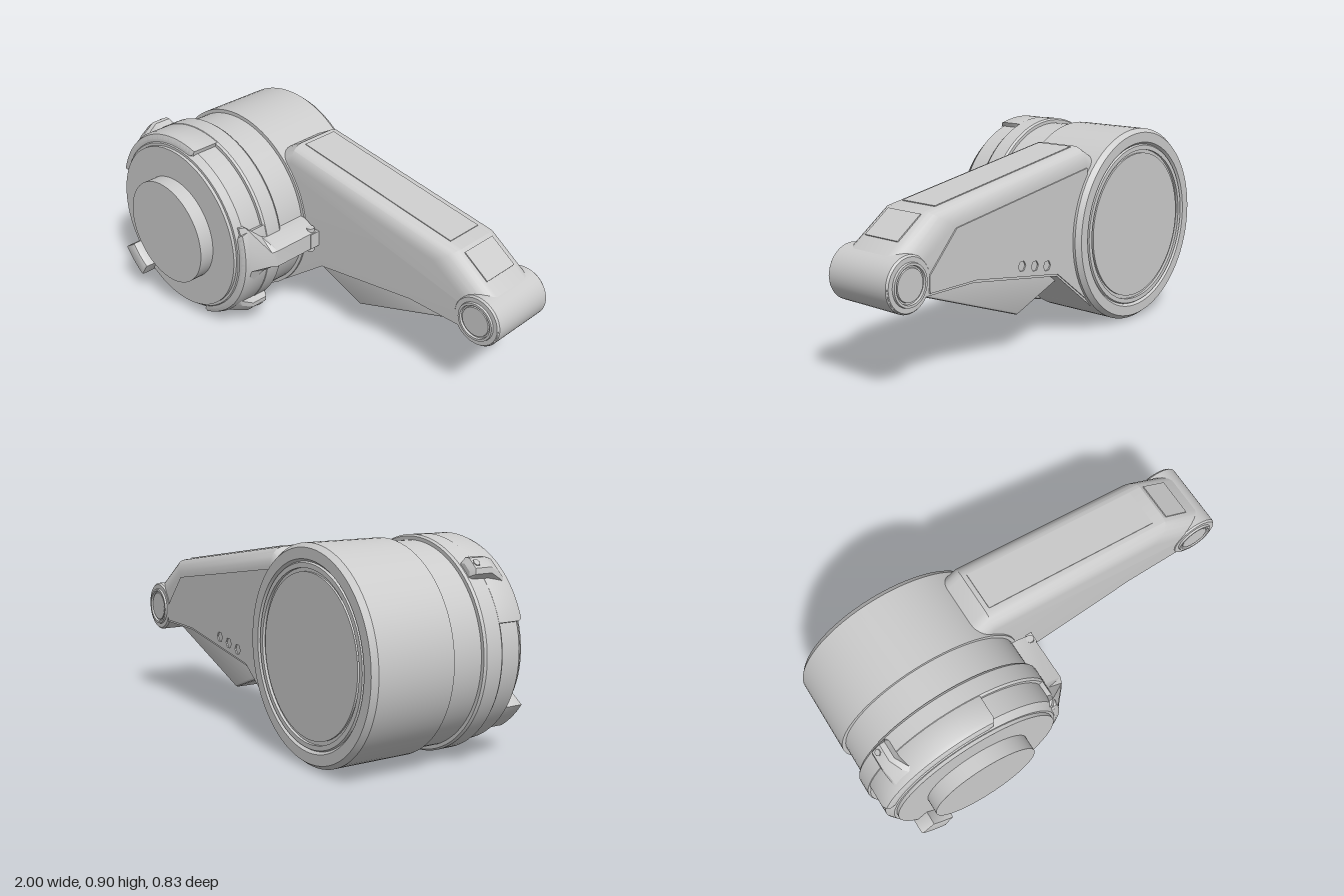
import * as THREE from 'three';
import { toCreasedNormals } from 'three/addons/utils/BufferGeometryUtils.js';

const grey = new THREE.MeshStandardMaterial({ color: 0xcccccc });
const RAD = Math.PI / 180;

function add(parent, name, geometry, crease = 0.5) {
  const mesh = new THREE.Mesh(toCreasedNormals(geometry, crease), grey);
  mesh.name = name;
  parent.add(mesh);
  return mesh;
}

// Turned part about the z axis, profile points are [radius, z] from back to front
function turned(profile, segments) {
  return new THREE.LatheGeometry(profile.map(p => new THREE.Vector2(...p)), segments).rotateX(Math.PI / 2);
}

// Capped skin through sections {z, pts}, with pts counter-clockwise and z rising
function loft(sections) {
  const n = sections[0].pts.length, last = (sections.length - 1) * n;
  const pos = sections.flatMap(s => s.pts.flatMap(p => [p[0], p[1], s.z]));
  const index = [];
  for (let s = 0; s < last; s += n) {
    for (let i = 0; i < n; i++) {
      const j = (i + 1) % n;
      index.push(s + i, s + j, s + n + j, s + i, s + n + j, s + n + i);
    }
  }
  const contour = sections[0].pts.map(p => new THREE.Vector2(p[0], p[1]));
  for (const [a, b, c] of THREE.ShapeUtils.triangulateShape(contour, [])) {
    index.push(c, b, a, last + a, last + b, last + c);
  }
  const g = new THREE.BufferGeometry();
  g.setAttribute('position', new THREE.Float32BufferAttribute(pos, 3));
  g.setIndex(index);
  g.computeVertexNormals();
  return g;
}

// Extrusion between two z values, with the bevel kept inside them
function slab(shape, z0, z1, bevel = 0) {
  return new THREE.ExtrudeGeometry(shape, {
    depth: z1 - z0 - 2 * bevel, bevelEnabled: bevel > 0, bevelThickness: bevel,
    bevelSize: bevel, bevelOffset: -bevel, bevelSegments: 2, curveSegments: 32,
  }).translate(0, 0, z0 + bevel);
}

// Ring segment between two angles in degrees
function sector(r0, r1, a0, a1) {
  const s = new THREE.Shape();
  s.absarc(0, 0, r1, a0 * RAD, a1 * RAD, false);
  s.absarc(0, 0, r0, a1 * RAD, a0 * RAD, true);
  return s;
}

function polygon(points) {
  return new THREE.Shape(points.map(p => new THREE.Vector2(...p)));
}

function createDrum() {
  const drum = new THREE.Group();
  drum.name = 'drum';
  drum.position.set(-0.55, 0.453, 0);

  // Stepped housing from the grooved back cover to the front knob
  add(drum, 'housing', turned([
    [0, -0.408], [0.335, -0.408], [0.335, -0.4], [0.35, -0.4], [0.35, -0.412], [0.37, -0.412],
    [0.375, -0.404], [0.385, -0.415], [0.43, -0.415], [0.447, -0.393], [0.447, -0.042],
    [0.43, -0.042], [0.43, 0.105], [0.445, 0.105], [0.452, 0.115], [0.452, 0.19], [0.445, 0.2],
    [0.43, 0.2], [0.43, 0.3], [0.405, 0.33], [0.393, 0.33], [0.393, 0.345], [0.25, 0.345],
    [0.25, 0.415], [0, 0.415],
  ], 80));

  // Raised rim segments, each carrying a screw lug
  for (const [a0, a1, lugAngle] of [[73, 162, 132], [-72, 17, -46]]) {
    add(drum, 'rimSegment', slab(sector(0.36, 0.45, a0, a1), 0.15, 0.325, 0.028));
    const lug = new THREE.Group();
    lug.name = 'screwLug';
    lug.rotation.z = lugAngle * RAD;
    drum.add(lug);
    const lugSections = [
      [0.12, 0.47, 0.035], [0.135, 0.493, 0.045], [0.215, 0.493, 0.045],
      [0.27, 0.465, 0.06], [0.3, 0.44, 0.085],
    ].map(([z, r, h]) => ({
      z, pts: [[0.4, -h], [r - 0.015, -h], [r, -h * 0.6], [r, h * 0.6], [r - 0.015, h], [0.4, h]],
    }));
    add(lug, 'lugBody', loft(lugSections));
    const screw = add(lug, 'lugScrew', new THREE.CylinderGeometry(0.016, 0.016, 0.03, 6));
    screw.rotation.z = Math.PI / 2;
    screw.position.set(0.482, 0, 0.155);
  }

  // Small front tab
  add(drum, 'frontTab', slab(sector(0.335, 0.415, -146, -124), 0.32, 0.41, 0.008));

  // Latch: spreads over the rim and runs back as a bar
  const latch = new THREE.Group();
  latch.name = 'latch';
  drum.add(latch);
  const latchSections = [
    [-0.04, 0.525, 0.04, 0.45, 0.077], [0.2, 0.525, 0.04, 0.45, 0.077],
    [0.225, 0.515, 0.035, 0.447, 0.09], [0.295, 0.452, 0.06, 0.42, 0.155],
    [0.315, 0.43, 0.06, 0.4, 0.15],
  ].map(([z, r, h, r2, h2]) => ({
    z, pts: [[0.36, -h2], [r2, -h2], [r, -h], [r, h], [r2, h2], [0.36, h2]],
  }));
  add(latch, 'latchBar', loft(latchSections));
  add(latch, 'latchClip', new THREE.BoxGeometry(0.03, 0.075, 0.05).translate(0.515, 0, -0.025));
  add(latch, 'latchPin', new THREE.CylinderGeometry(0.018, 0.018, 0.12, 16).translate(0.505, 0, -0.02));
  return drum;
}

function createArm() {
  const arm = new THREE.Group();
  arm.name = 'arm';
  const back = -0.375, front = -0.05, round = 0.07;
  const tip = [0.885, 0.455], tipRadius = 0.115;

  // Outline points [x, y] with the inset [dx, dy] they take at the side faces
  const outline = [[-0.25, 0.12, 0, 0], [0, 0.31, 0, 0], [0.53, 0.39, 0, 0], [0.8, 0.39, 0, 0]];
  for (let i = 0; i <= 10; i++) {
    const a = -120 + i * 17.3, k = THREE.MathUtils.smoothstep(a, 10, 53);
    outline.push([tip[0] + 0.112 * Math.cos(a * RAD), tip[1] + 0.112 * Math.sin(a * RAD), -0.08 * k, -0.06 * k]);
  }
  outline.push([0.73, 0.7, -0.09, -0.063], [-0.2, 0.85, 0, -0.08], [-0.27, 0.81, 0, -0.08],
    [-0.55, 0.6, 0, 0], [-0.55, 0.3, 0, 0]);

  // Main beam with rounded upper edges
  const half = [];
  for (let i = 0; i <= 6; i++) {
    const a = i * 15 * RAD;
    half.push([round * (1 - Math.cos(a)), 1 - Math.sin(a)]);
  }
  const at = (z, k) => ({ z, pts: outline.map(([x, y, dx, dy]) => [x + dx * k, y + dy * k]) });
  const backHalf = half.map(([d, k]) => at(back + d, k));
  const frontHalf = half.map(([d, k]) => at(front - d, k)).reverse();
  add(arm, 'beam', loft([...backHalf, ...frontHalf]), 0.45);

  // Narrow fin below the beam
  add(arm, 'lowerFin', slab(polygon([[-0.07, 0.27], [0.2, 0.17], [0.8, 0.385], [0.7, 0.5], [0, 0.5]]),
    -0.325, -0.098, 0.012));

  // Thin panels on the top and on the slope towards the tip
  for (const [name, x, y, length, angle] of [
    ['topPanel', 0.245, 0.775, 0.86, -0.16], ['slopePanel', 0.805, 0.645, 0.15, -0.608]]) {
    const panel = add(arm, name, new THREE.BoxGeometry(length, 0.014, 0.18));
    panel.position.set(x, y, -0.212);
    panel.rotation.z = angle;
  }

  // Back plate with three hexagonal holes
  const plate = polygon([[-0.2, 0.17], [0, 0.32], [0.52, 0.4], [0.78, 0.4], [0.78, 0.47], [0.63, 0.63], [-0.2, 0.76]]);
  for (const [x, y] of [[0.075, 0.372], [0.157, 0.387], [0.24, 0.402]]) {
    const corners = [];
    for (let i = 0; i < 6; i++) {
      corners.push(new THREE.Vector2(x + 0.024 * Math.cos(i * 60 * RAD), y + 0.024 * Math.sin(i * 60 * RAD)));
    }
    plate.holes.push(new THREE.Path(corners));
  }
  add(arm, 'backPlate', slab(plate, back - 0.006, back + 0.01));

  // Tip barrel with a grooved pivot cap on each end
  const barrel = add(arm, 'tipBarrel', turned([
    [0, -0.383], [0.066, -0.383], [0.068, -0.377], [0.074, -0.377], [0.076, -0.387], [0.086, -0.387],
    [0.088, -0.378], [0.108, -0.378], [tipRadius, -0.37], [tipRadius, -0.055], [0.108, -0.047],
    [0.088, -0.047], [0.086, -0.038], [0.076, -0.038], [0.074, -0.048], [0.068, -0.048],
    [0.066, -0.042], [0, -0.042],
  ], 48));
  barrel.position.set(tip[0], tip[1], 0);
  return arm;
}

export function createModel() {
  const model = new THREE.Group();
  model.name = 'drumWithArm';
  model.add(createDrum(), createArm());
  return model;
}
